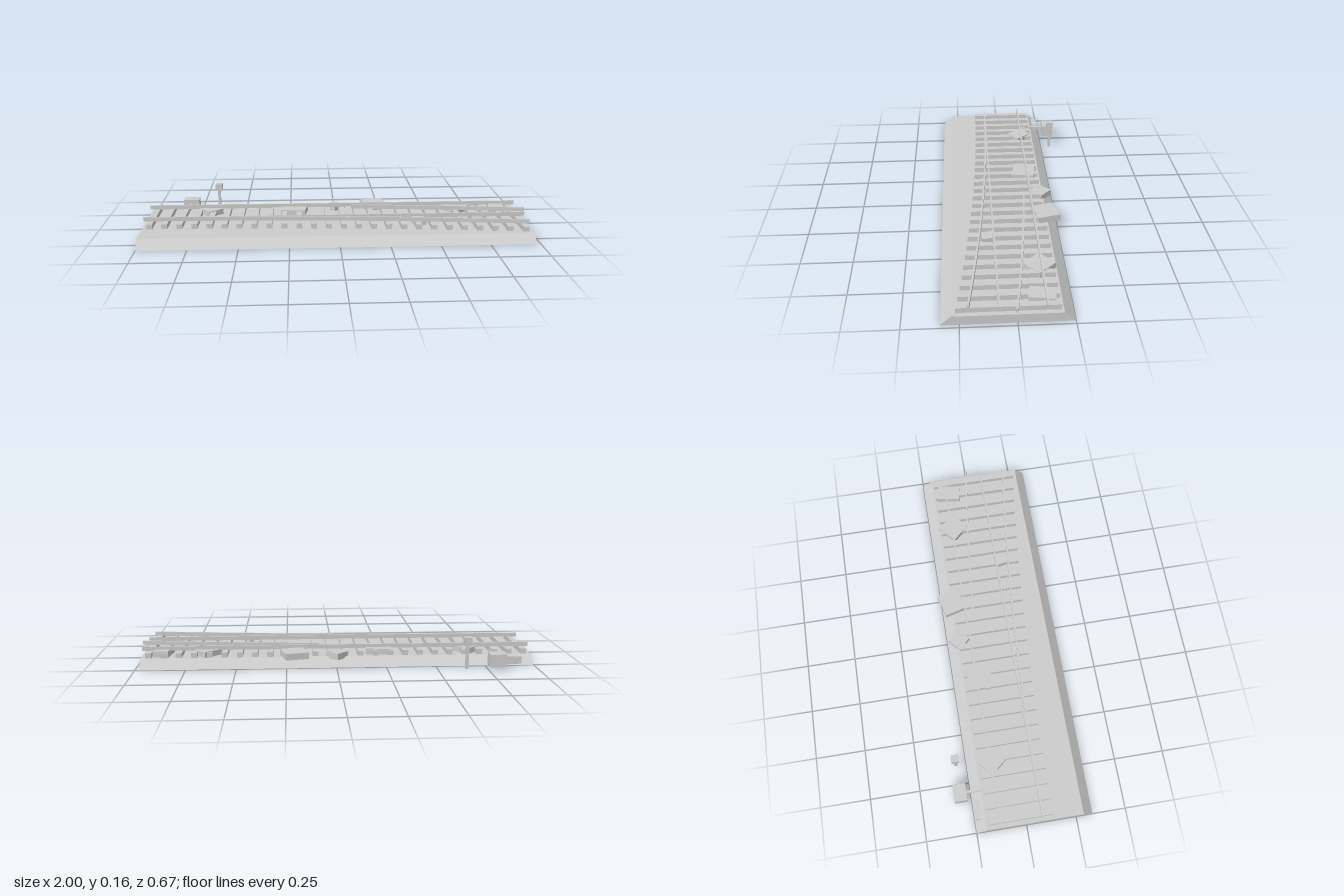
import * as THREE from 'three';

export function createModel() {
  const model = new THREE.Group();
  model.name = 'railwayTurnout';
  const grey = new THREE.MeshStandardMaterial({ color: 0xcccccc });
  grey.name = 'plain grey';

  const add = (geometry, name, parent = model) => {
    const mesh = new THREE.Mesh(geometry, grey);
    mesh.name = name;
    parent.add(mesh);
    return mesh;
  };
  // Box given by its lower and upper limits on each axis
  const block = (name, [x0, x1], [y0, y1], [z0, z1], parent) => {
    const mesh = add(new THREE.BoxGeometry(x1 - x0, y1 - y0, z1 - z0), name, parent);
    mesh.position.set((x0 + x1) / 2, (y0 + y1) / 2, (z0 + z1) / 2);
    return mesh;
  };
  const group = (name) => {
    const g = new THREE.Group();
    g.name = name;
    model.add(g);
    return g;
  };

  // Ballast bed: trapezoid section swept along x
  const section = new THREE.Shape([
    [-0.333, 0], [0.25, 0], [0.2, 0.045], [-0.285, 0.045],
  ].map(([x, y]) => new THREE.Vector2(x, y)));
  const bed = new THREE.ExtrudeGeometry(section, { depth: 1.98, bevelEnabled: false });
  bed.rotateY(Math.PI / 2);
  bed.translate(-1, 0, 0);
  add(bed, 'ballastBed');

  // Centre line of the diverging outer rail
  const divergeZ = (x) => 0.08 + 0.132 * Math.pow(Math.max(0, x + 0.98) / 1.95, 2);

  // Sleepers lengthen as the tracks part
  const sleepers = group('sleepers');
  for (let i = 0; i < 26; i++) {
    const x = -0.963 + i * 0.0762;
    block('sleeper', [x - 0.015, x + 0.015], [0.04, 0.07], [-0.19, divergeZ(x) + 0.058], sleepers);
  }

  // Straight rails
  const rails = group('rails');
  for (const z of [-0.129, 0.08]) {
    block('straightRail', [-1, 0.98], [0.07, 0.091], [z - 0.004, z + 0.004], rails);
  }

  // Curved rails: plan outline pushed up to rail height
  const curvedRail = (name, x0, x1, offset) => {
    const near = [], far = [];
    for (let i = 0; i <= 16; i++) {
      const x = x0 + (x1 - x0) * i / 16;
      const z = divergeZ(x) + offset;
      near.push(new THREE.Vector2(x, -z - 0.0045));
      far.unshift(new THREE.Vector2(x, -z + 0.0045));
    }
    const geometry = new THREE.ExtrudeGeometry(new THREE.Shape([...near, ...far]), { depth: 0.021, bevelEnabled: false });
    geometry.rotateX(-Math.PI / 2);
    geometry.translate(0, 0.07, 0);
    add(geometry, name, rails);
  };
  curvedRail('outerCurvedRail', -0.88, 0.97, 0);
  curvedRail('innerCurvedRail', 0.08, 1, -0.212);

  // Point machine with its throw rod
  block('pointMachine', [-0.843, -0.758], [0.013, 0.077], [-0.333, -0.27]);
  block('throwRod', [-0.807, -0.793], [0.046, 0.058], [-0.27, -0.14]);

  // Low cabinet let into the back slope
  block('cabinet', [-0.94, -0.845], [0.005, 0.043], [-0.245, -0.215]);

  // Signal post and head
  block('signalPost', [-0.654, -0.639], [0, 0.124], [-0.309, -0.295]);
  block('signalHead', [-0.665, -0.628], [0.124, 0.161], [-0.32, -0.283]);

  // Flat stones: x, z, width, depth, turn, top height
  const stones = group('stones');
  for (const [x, z, w, d, turn, top] of [
    [-0.675, -0.12, 0.09, 0.1, 0.7, 0.074],
    [-0.225, -0.115, 0.13, 0.12, -0.15, 0.075],
    [-0.005, -0.187, 0.08, 0.08, 0.8, 0.069],
    [0.21, -0.195, 0.12, 0.115, 0.26, 0.077],
    [0.655, -0.12, 0.11, 0.11, 0.75, 0.074],
    [0.875, -0.115, 0.08, 0.12, -0.15, 0.076],
    [0.42, 0.108, 0.06, 0.06, 0.2, 0.077],
  ]) {
    const stone = add(new THREE.BoxGeometry(w, 0.033, d), 'stone', stones);
    stone.position.set(x, top - 0.0165, z);
    stone.rotation.y = turn;
  }
  return model;
}
